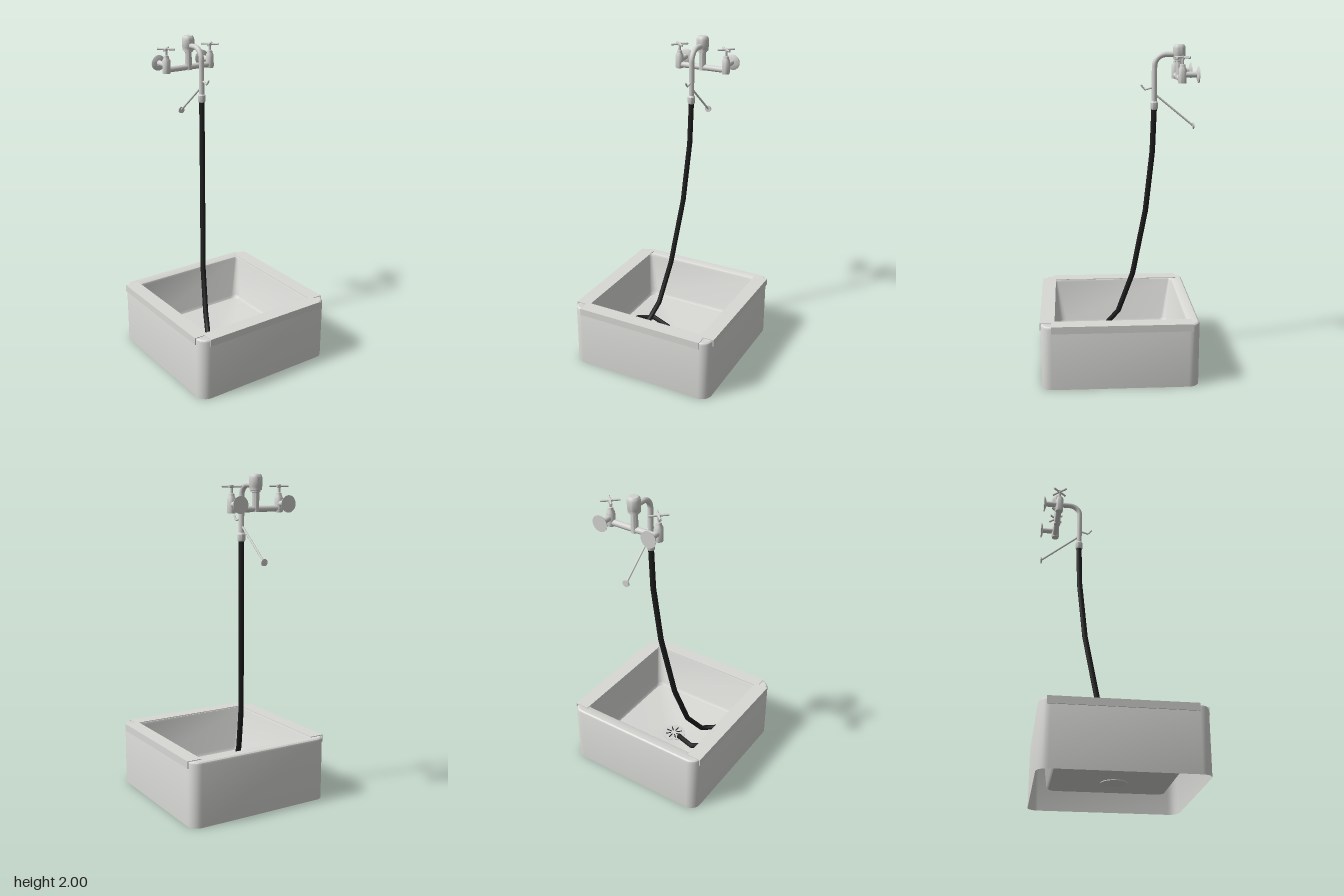
import * as THREE from 'three';
import { toCreasedNormals } from 'three/addons/utils/BufferGeometryUtils.js';

const V = (x, y, z) => new THREE.Vector3(x, y, z);

// Outline of a square with rounded corners; r equal to half gives a circle
function section(half, r, y) {
  const pts = [], steps = 6, c = half - r;
  [[1, 1], [-1, 1], [-1, -1], [1, -1]].forEach(([sx, sz], k) => {
    for (let i = 0; i <= steps; i++) {
      const a = (k + i / steps) * Math.PI / 2;
      pts.push(V(sx * c + Math.cos(a) * r, y, sz * c + Math.sin(a) * r));
    }
  });
  return pts;
}

// Skin over a stack of outlines with equal point counts
function loft(sections) {
  const n = sections[0].length, index = [];
  for (let j = 0; j < sections.length - 1; j++) {
    for (let i = 0; i < n; i++) {
      const a = j * n + i, b = j * n + (i + 1) % n;
      index.push(a, a + n, b, b, a + n, b + n);
    }
  }
  const g = new THREE.BufferGeometry().setFromPoints(sections.flat());
  g.setIndex(index);
  return toCreasedNormals(g, 0.6);
}

// Path with sharp kinks, sampled only at its corner points
class Polyline extends THREE.Curve {
  constructor(points) { super(); this.points = points; }
  getPoint(t, target = new THREE.Vector3()) {
    const n = this.points.length - 1, f = Math.min(Math.max(t, 0), 1) * n;
    const i = Math.min(Math.floor(f), n - 1);
    return target.lerpVectors(this.points[i], this.points[i + 1], f - i);
  }
  getPointAt(t, target) { return this.getPoint(t, target); }
  getTangentAt(t, target) { return this.getTangent(t, target); }
}

export function createModel() {
  const ceramic = new THREE.MeshStandardMaterial({ color: 0xd8d8d5, side: THREE.DoubleSide });
  ceramic.name = 'grey basin';
  const metal = new THREE.MeshStandardMaterial({ color: 0xd2d2d0 });
  metal.name = 'satin metal';
  const rubber = new THREE.MeshStandardMaterial({ color: 0x1e1e1e });
  rubber.name = 'black rubber';
  const dark = new THREE.MeshStandardMaterial({ color: 0x2e2e2e });
  dark.name = 'drain slot dark';

  const model = new THREE.Group();
  model.name = 'mopSink';
  function add(name, geo, mat, parent = model) {
    const m = new THREE.Mesh(geo, mat);
    m.name = name;
    parent.add(m);
    return m;
  }
  // Straight round bar between two points
  function rod(name, a, b, r, parent = model, mat = metal, sides = 20) {
    const m = add(name, new THREE.CylinderGeometry(r, r, a.distanceTo(b), sides), mat, parent);
    m.position.copy(a).add(b).multiplyScalar(0.5);
    m.quaternion.setFromUnitVectors(V(0, 1, 0), b.clone().sub(a).normalize());
    return m;
  }
  // Turned part from [radius, height] pairs
  function turned(name, pairs, parent = model) {
    const g = new THREE.LatheGeometry(pairs.map(p => new THREE.Vector2(...p)), 24);
    return add(name, toCreasedNormals(g, 0.6), metal, parent);
  }

  // Basin shell, open underneath, with a floor sloping to the drain
  add('basin', loft([
    section(0.474, 0.065, 0), section(0.474, 0.065, 0.38), section(0.471, 0.062, 0.39),
    section(0.463, 0.055, 0.396), section(0.412, 0.03, 0.396), section(0.402, 0.025, 0.39),
    section(0.396, 0.025, 0.375), section(0.37, 0.045, 0.115), section(0.358, 0.045, 0.097),
    section(0.075, 0.075, 0.065),
  ]), ceramic);

  // Rim guard: a thin U-shaped cap along the front and sides, with skirts
  const outline = [[0.415, -0.478], [0.415, -0.41], [0.48, -0.41], [0.48, 0.43], [0.39, 0.43],
    [0.39, -0.39], [-0.39, -0.39], [-0.39, 0.43], [-0.48, 0.43], [-0.48, -0.41],
    [-0.415, -0.41], [-0.415, -0.478]];
  const capShape = new THREE.Shape(outline.map(p => new THREE.Vector2(...p)));
  const cap = add('rimGuard', new THREE.ExtrudeGeometry(capShape, { depth: 0.004, bevelEnabled: false }), ceramic);
  cap.rotation.x = -Math.PI / 2;
  cap.position.y = 0.3965;
  add('frontSkirt', new THREE.BoxGeometry(0.83, 0.042, 0.004), ceramic).position.set(0, 0.377, 0.476);
  for (const side of [-1, 1]) {
    add('sideSkirt', new THREE.BoxGeometry(0.006, 0.042, 0.84), ceramic).position.set(side * 0.477, 0.377, -0.01);
  }

  // Drain plate and its radial slots
  rod('drainPlate', V(0, 0.06, 0), V(0, 0.068, 0), 0.077, model, metal, 32);
  for (let i = 0; i < 8; i++) {
    const a = i * Math.PI / 4;
    const slot = add('drainSlot', new THREE.BoxGeometry(0.036, 0.003, 0.007), dark);
    slot.position.set(Math.cos(a) * 0.038, 0.069, Math.sin(a) * 0.038);
    slot.rotation.y = -a;
  }

  // Hose hanging from the spout and coiling on the floor
  const hosePath = [[0, 1.615, -0.23], [-0.005, 1.35, -0.222], [-0.03, 0.97, -0.185],
    [-0.08, 0.54, -0.11], [-0.122, 0.27, -0.02], [-0.17, 0.13, 0.085], [-0.235, 0.108, 0.17],
    [-0.297, 0.11, 0.11], [-0.28, 0.108, -0.015], [-0.19, 0.1, -0.075], [-0.06, 0.088, -0.03]]
    .map(p => V(...p));
  add('hose', new THREE.TubeGeometry(new Polyline(hosePath), hosePath.length - 1, 0.017, 8), rubber);
  const end = hosePath[hosePath.length - 1], before = hosePath[hosePath.length - 2];
  rod('hoseEnd', end.clone().lerp(before, 0.05), end, 0.017, model, rubber, 8);

  // Wall faucet: cross bar and a mirrored pair of valves
  const faucet = new THREE.Group();
  faucet.name = 'faucet';
  model.add(faucet);
  const zf = -0.378;
  rod('crossBar', V(-0.16, 1.802, zf), V(0.16, 1.802, zf), 0.018, faucet);
  for (const side of [-1, 1]) {
    const valve = new THREE.Group();
    valve.name = side > 0 ? 'leftValve' : 'rightValve';
    valve.position.set(side * 0.16, 0, zf);
    faucet.add(valve);
    turned('valveBody', [[0, 1.78], [0.023, 1.78], [0.025, 1.79], [0.025, 1.86], [0.017, 1.875],
      [0.015, 1.89], [0.008, 1.893], [0.008, 1.92], [0.013, 1.922], [0.013, 1.936], [0, 1.94]], valve);
    for (const s of [-1, 1]) {
      rod('crossHandle', V(-0.039, 1.93, -0.039 * s), V(0.039, 1.93, 0.039 * s), 0.0065, valve, metal, 10);
    }
    rod('wallArm', V(0, 1.83, 0), V(0, 1.83, -0.085), 0.017, valve);
    const flange = turned('wallFlange', [[0, 0], [0.049, 0], [0.048, 0.005], [0.035, 0.011], [0.018, 0.014]], valve);
    flange.rotation.x = Math.PI / 2;
    flange.position.set(0, 1.83, -0.476 - zf);
  }

  // Centre riser with the domed breaker cap
  const riser = turned('riserAndCap', [[0, 1.785], [0.021, 1.785], [0.021, 1.895], [0.028, 1.898],
    [0.028, 1.906], [0.036, 1.908], [0.036, 1.924], [0.038, 1.928], [0.038, 1.975],
    [0.035, 1.988], [0.027, 1.997], [0, 2.0]], faucet);
  riser.position.z = zf;

  // Bent spout and hose collar
  const spout = new THREE.CurvePath();
  spout.add(new THREE.LineCurve3(V(0, 1.938, -0.37), V(0, 1.938, -0.3)));
  spout.add(new THREE.CubicBezierCurve3(V(0, 1.938, -0.3), V(0, 1.938, -0.261), V(0, 1.907, -0.23), V(0, 1.868, -0.23)));
  spout.add(new THREE.LineCurve3(V(0, 1.868, -0.23), V(0, 1.63, -0.23)));
  add('spout', new THREE.TubeGeometry(spout, 40, 0.0165, 16), metal, faucet);
  const collar = turned('hoseCollar', [[0, 1.608], [0.02, 1.608], [0.023, 1.615], [0.023, 1.65], [0.016, 1.66]], faucet);
  collar.position.z = -0.23;

  // Pail hook on the front of the spout
  const hook = new Polyline([V(0, 1.742, -0.222), V(0, 1.728, -0.174), V(0, 1.736, -0.165), V(0, 1.757, -0.15)]);
  add('pailHook', new THREE.TubeGeometry(hook, 3, 0.0055, 8), metal, faucet);
  rod('hookTip', V(0, 1.752, -0.1536), V(0, 1.757, -0.15), 0.0055, faucet, metal, 8);

  // Wall brace with its foot plate
  rod('brace', V(0, 1.7, -0.235), V(0, 1.508, -0.47), 0.006, faucet, metal, 10);
  rod('braceFoot', V(0, 1.506, -0.476), V(0, 1.506, -0.468), 0.021, faucet);

  return model;
}
